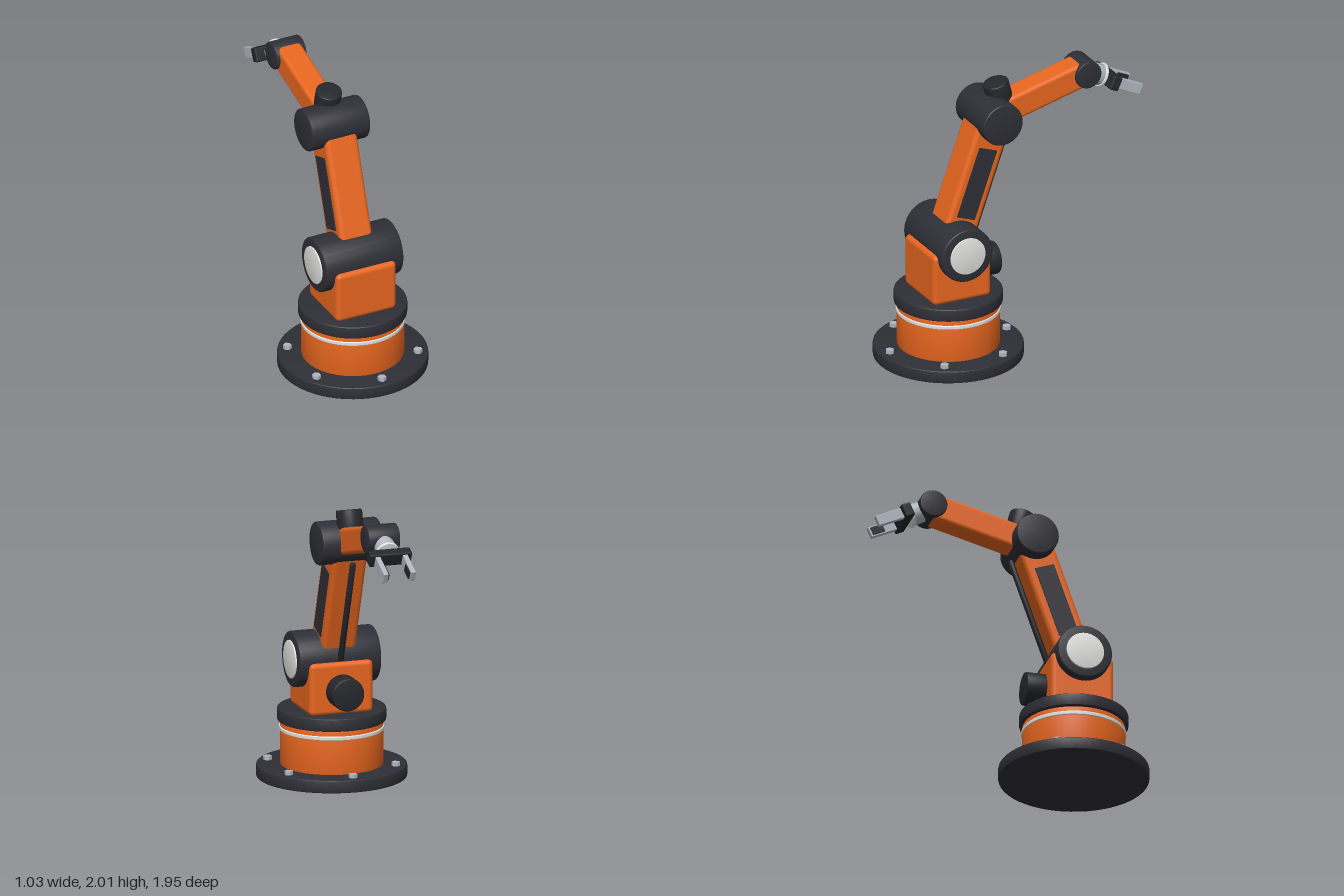
import * as THREE from 'three';
import { toCreasedNormals } from 'three/addons/utils/BufferGeometryUtils.js';
import { RoundedBoxGeometry } from 'three/addons/geometries/RoundedBoxGeometry.js';

const material = (name, color) => {
  const m = new THREE.MeshStandardMaterial({ color });
  m.name = name;
  return m;
};

export function createModel() {
  const orange = material('orange paint', 0xe8661f);
  const dark = material('dark grey', 0x2e2e36);
  const black = material('black', 0x25272c);
  const white = material('light grey', 0xe2e2e0);
  const steel = material('steel', 0xb0b6c0);

  const robot = new THREE.Group();
  robot.name = 'robotArm';

  const add = (parent, name, geometry, mat, x = 0, y = 0, z = 0) => {
    const mesh = new THREE.Mesh(geometry, mat);
    mesh.name = name;
    mesh.position.set(x, y, z);
    parent.add(mesh);
    return mesh;
  };

  // Solid disc along y, centred on its middle, with softened rims
  const disc = (r, h, bevel = 0.012, rTop = r) => {
    const points = [new THREE.Vector2(0, -h / 2)];
    for (const [radius, side] of [[r, -1], [rTop, 1]]) {
      for (let i = 0; i <= 3; i++) {
        const a = (side < 0 ? i : 3 - i) * Math.PI / 6;
        points.push(new THREE.Vector2(
          radius - bevel + bevel * Math.sin(a),
          side * (h / 2 - bevel + bevel * Math.cos(a))));
      }
    }
    points.push(new THREE.Vector2(0, h / 2));
    return toCreasedNormals(new THREE.LatheGeometry(points, 56), 0.4);
  };
  const discX = (r, h, bevel) => disc(r, h, bevel).rotateZ(Math.PI / 2);
  const discZ = (r, h, bevel) => disc(r, h, bevel).rotateX(Math.PI / 2);
  const box = (w, h, d, r) => new RoundedBoxGeometry(w, h, d, 3, r);

  // A link group whose local +y points from one joint to the next
  const link = (name, y, z, tilt) => {
    const g = new THREE.Group();
    g.name = name;
    g.position.set(0, y, z);
    g.rotation.x = -tilt;
    robot.add(g);
    return g;
  };

  const baseZ = 0.457;
  const shoulder = { y: 0.84, z: baseZ };
  const elbow = { y: 1.719, z: 0.145 };
  const wrist = { y: 1.908, z: -0.56 };
  const tiltOf = (a, b) => Math.atan2(a.z - b.z, b.y - a.y);
  const lengthOf = (a, b) => Math.hypot(a.z - b.z, b.y - a.y);

  // Base and turntable
  add(robot, 'basePlate', disc(0.515, 0.09), dark, 0, 0.045, baseZ);
  add(robot, 'baseDrum', disc(0.352, 0.32, 0.018), orange, 0, 0.24, baseZ);
  add(robot, 'baseRing', disc(0.359, 0.03, 0.008), white, 0, 0.345, baseZ);
  add(robot, 'turntable', disc(0.372, 0.09), dark, 0, 0.44, baseZ);
  for (let i = 0; i < 6; i++) {
    const a = i * Math.PI / 3;
    const bolt = toCreasedNormals(new THREE.CylinderGeometry(0.03, 0.03, 0.04, 6), 0.4);
    add(robot, 'baseBolt', bolt, steel, 0.445 * Math.sin(a), 0.097, baseZ + 0.445 * Math.cos(a));
  }

  // Shoulder
  add(robot, 'shoulderHousing', box(0.456, 0.37, 0.44, 0.035), orange, 0, 0.66, baseZ + 0.003);
  add(robot, 'shoulderMotor', discZ(0.115, 0.18), black, 0, 0.645, 0.19);
  add(robot, 'shoulderJoint', discX(0.193, 0.59, 0.015), dark, 0, shoulder.y, shoulder.z);
  for (const s of [-1, 1]) {
    add(robot, 'shoulderCap', discX(0.132, 0.03, 0.004), white, s * 0.29, shoulder.y, shoulder.z);
  }

  // Upper arm
  const upperLength = lengthOf(shoulder, elbow);
  const upperArm = link('upperArm', shoulder.y, shoulder.z, tiltOf(shoulder, elbow));
  add(upperArm, 'upperArmBeam', box(0.245, upperLength, 0.252, 0.035), orange, 0, upperLength / 2, 0);
  for (const s of [-1, 1]) {
    add(upperArm, 'sidePanel', new THREE.BoxGeometry(0.009, 0.512, 0.14), dark, s * 0.1255, upperLength / 2, 0);
  }
  add(upperArm, 'armRod', disc(0.021, 0.78, 0.003), black, 0, upperLength / 2, -0.17);

  // Elbow
  add(robot, 'elbowJoint', discX(0.15, 0.44, 0.015), dark, 0, elbow.y, elbow.z);

  // Forearm
  const foreLength = lengthOf(elbow, wrist);
  const forearm = link('forearm', elbow.y, elbow.z, tiltOf(elbow, wrist));
  add(forearm, 'forearmBeam', box(0.18, foreLength, 0.184, 0.028), orange, 0, foreLength / 2, 0);
  add(forearm, 'forearmMotor', discZ(0.09, 0.16), black, 0, 0.105, 0.132);

  // Wrist and gripper
  add(robot, 'wristJoint', discX(0.097, 0.226, 0.01), dark, 0, wrist.y, wrist.z);
  const gripper = link('gripper', wrist.y, wrist.z, THREE.MathUtils.degToRad(114.7));
  add(gripper, 'wristFlange', disc(0.07, 0.12, 0.004, 0.076), steel, 0, 0.105, 0);
  add(gripper, 'flangeRing', disc(0.084, 0.02, 0.005), white, 0, 0.16, 0);
  add(gripper, 'gripperPalm', box(0.3, 0.07, 0.1, 0.012), black, 0, 0.21, 0);
  for (const s of [-1, 1]) {
    add(gripper, 'finger', box(0.036, 0.21, 0.076, 0.004), steel, s * 0.098, 0.334, 0);
    add(gripper, 'fingerPad', new THREE.BoxGeometry(0.012, 0.09, 0.055), black, s * 0.076, 0.38, 0);
  }

  return robot;
}
